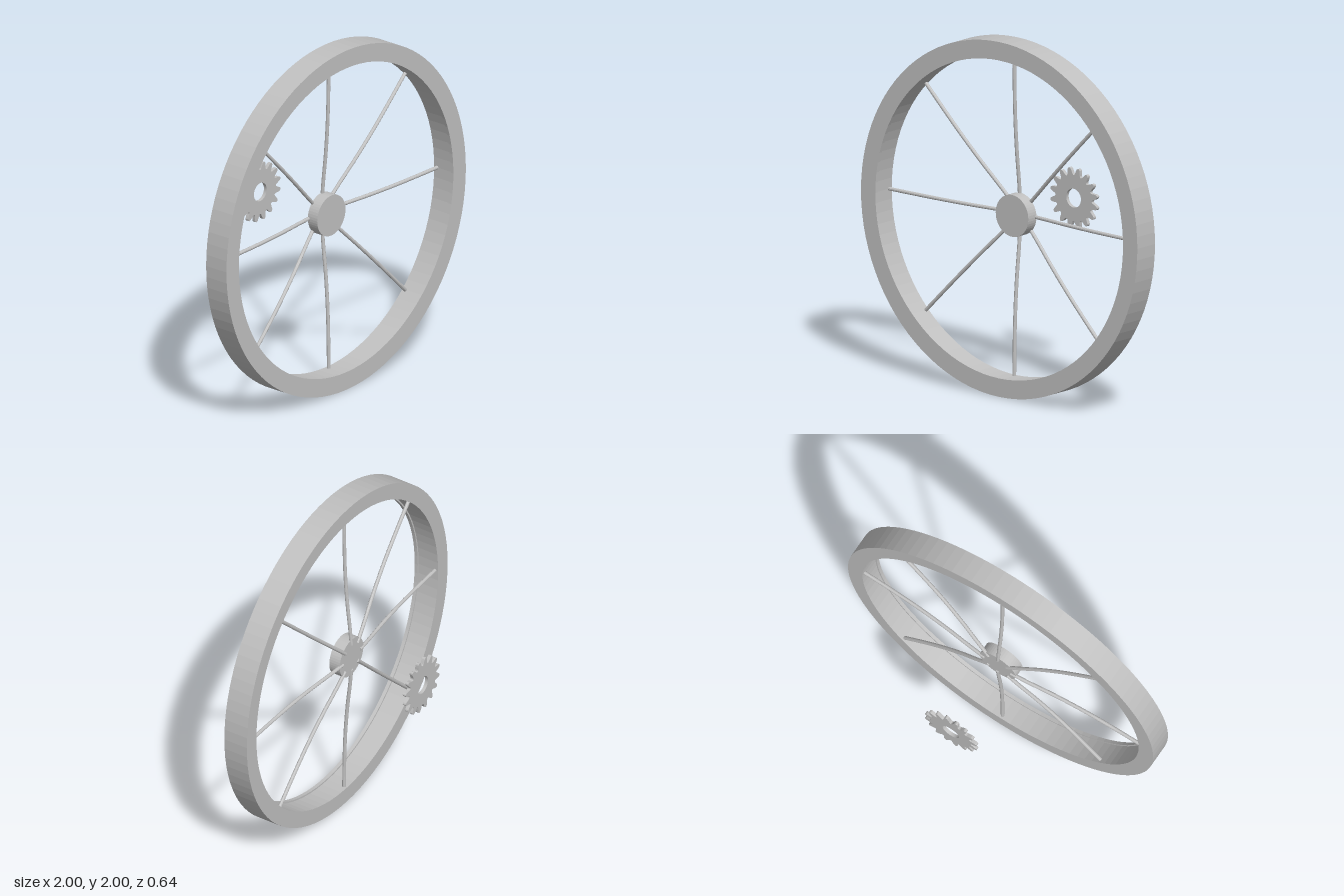
import * as THREE from 'three';

export function createModel() {
  const model = new THREE.Group();
  model.name = 'spokedWheelAndCog';
  const metal = new THREE.MeshStandardMaterial({ color: 0xc0c0c0, flatShading: true });
  metal.name = 'greyMetal';
  const smoothMetal = metal; // one colour throughout

  const add = (name, geometry, parent) => {
    const mesh = new THREE.Mesh(geometry, smoothMetal);
    mesh.name = name;
    parent.add(mesh);
    return mesh;
  };

  // Everything turns about this centre line
  const wheel = new THREE.Group();
  wheel.name = 'wheel';
  wheel.position.y = 1;
  model.add(wheel);

  // Rim: closed ring section (radius, z) with a thin lip at the front
  const section = [
    [0.905, 0.173], [1, 0.173], [1, 0.32], [0.896, 0.32], [0.896, 0.3], [0.905, 0.3], [0.905, 0.173],
  ].map(([r, z]) => new THREE.Vector2(r, z));
  add('rim', new THREE.LatheGeometry(section, 96).rotateX(Math.PI / 2), wheel);

  // Hub: short solid disc
  const hub = new THREE.CylinderGeometry(0.118, 0.118, 0.068, 48).rotateX(Math.PI / 2);
  add('hub', hub, wheel).position.z = 0.179;

  // Spokes: bowed rods sweeping back towards the hub
  const bow = new THREE.CatmullRomCurve3(
    [[0.085, 0.146], [0.2, 0.156], [0.35, 0.172], [0.55, 0.186], [0.75, 0.192], [0.908, 0.194]]
      .map(([r, z]) => new THREE.Vector3(r, 0, z)),
  );
  const rod = new THREE.TubeGeometry(bow, 24, 0.0105, 10, false);
  const cap = new THREE.CircleGeometry(0.0105, 10).rotateY(-Math.PI / 2);
  for (let i = 0; i < 8; i++) {
    const spoke = new THREE.Group();
    spoke.name = 'spoke';
    spoke.rotation.z = (i * Math.PI) / 4;
    add('spokeRod', rod, spoke);
    add('spokeEnd', cap, spoke).position.set(0.085, 0, 0.146);
    wheel.add(spoke);
  }

  // Cog: separate thin plate behind the wheel, with rounded teeth and a bore
  const teeth = 16;
  const steps = 12;
  const outline = [];
  for (let i = 0; i < teeth * steps; i++) {
    const a = (i / (teeth * steps)) * Math.PI * 2;
    const wave = -Math.cos(a * teeth); // gaps on the axes
    const r = 0.151 + 0.021 * Math.sign(wave) * Math.pow(Math.abs(wave), 0.6);
    outline.push(new THREE.Vector2(r * Math.cos(a), r * Math.sin(a)));
  }
  const plate = new THREE.Shape(outline);
  plate.holes.push(new THREE.Path().absarc(0, 0, 0.053, 0, Math.PI * 2, true));
  const cog = new THREE.ExtrudeGeometry(plate, { depth: 0.02, bevelEnabled: false, curveSegments: 32 });
  add('cog', cog, model).position.set(0, 1.002, -0.32);

  return model;
}
